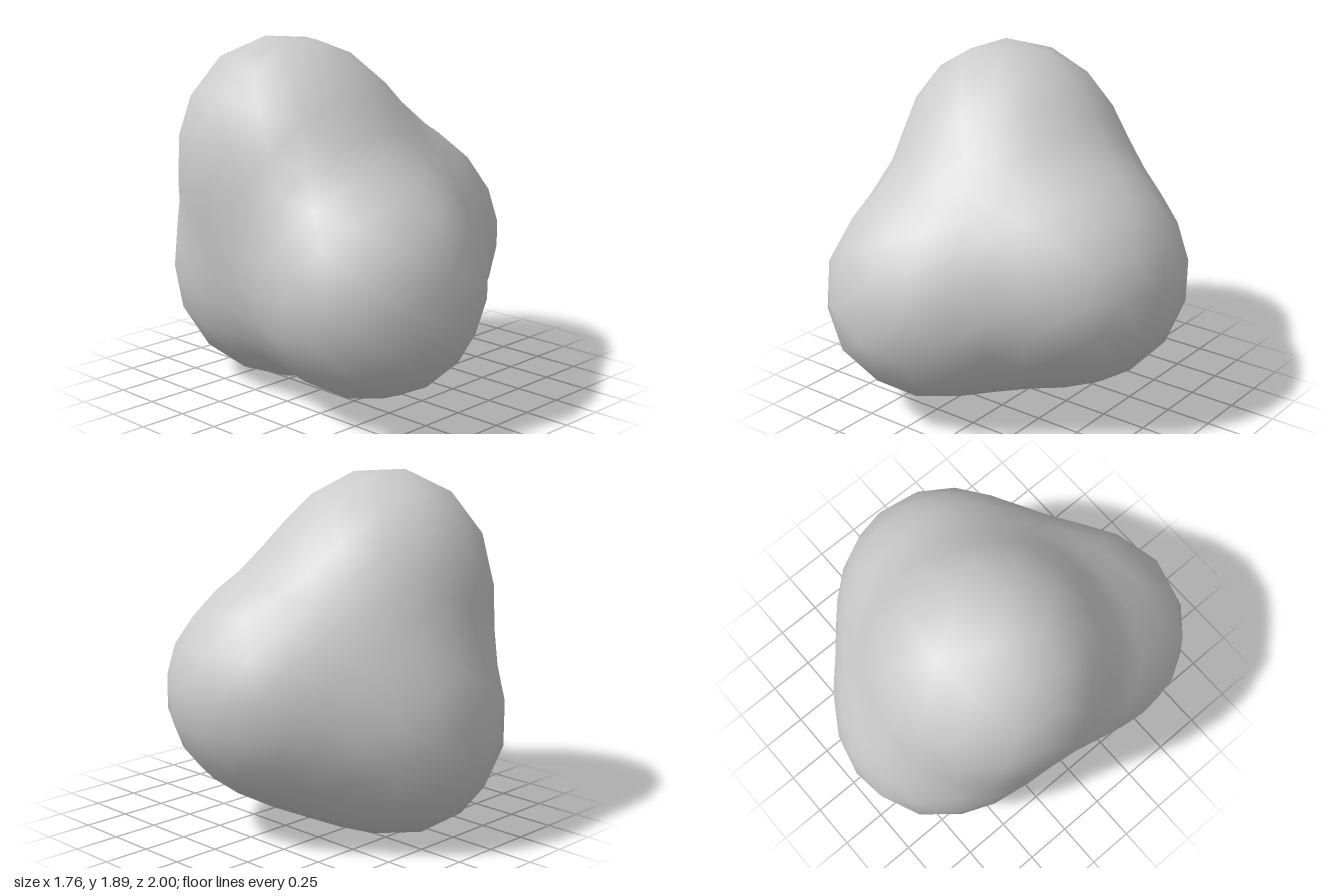
import * as THREE from 'three';
import { mergeVertices } from 'three/addons/utils/BufferGeometryUtils.js';

// Four overlapping lobes in a loose tetrahedron: centre and radius
const LOBES = [
  { c: new THREE.Vector3(-0.305, 1.36, -0.215), r: 0.512 }, // top
  { c: new THREE.Vector3(-0.345, 0.65, 0.48), r: 0.503 },   // front
  { c: new THREE.Vector3(0.37, 0.77, 0.0), r: 0.48 },       // side
  { c: new THREE.Vector3(-0.16, 0.535, -0.475), r: 0.495 }, // back
];
const CENTRE = new THREE.Vector3(-0.1, 0.84, -0.05);
const BLEND = 4.15; // lower values fill the valleys more

// Smooth union of the lobes: positive inside, negative outside
function field(p) {
  let sum = 0;
  for (const { c, r } of LOBES) sum += Math.exp(-BLEND * (p.distanceTo(c) - r));
  return sum - 1;
}

// Distance from the centre to the surface along a direction
function surfaceDistance(dir) {
  const p = new THREE.Vector3();
  let near = 0, far = 2;
  for (let i = 0; i < 30; i++) {
    const mid = (near + far) / 2;
    if (field(p.copy(CENTRE).addScaledVector(dir, mid)) > 0) near = mid;
    else far = mid;
  }
  return near;
}

function lumpyStone() {
  // A welded, coarse sphere pushed out to the blended surface
  let geo = new THREE.IcosahedronGeometry(1, 4);
  geo.deleteAttribute('normal');
  geo.deleteAttribute('uv');
  geo = mergeVertices(geo, 1e-4);
  const pos = geo.attributes.position;
  const dir = new THREE.Vector3();
  for (let i = 0; i < pos.count; i++) {
    dir.fromBufferAttribute(pos, i).normalize();
    const d = surfaceDistance(dir);
    dir.multiplyScalar(d).add(CENTRE);
    pos.setXYZ(i, dir.x, dir.y, dir.z);
  }

  // Settle on the ground, centred
  geo.computeBoundingBox();
  const mid = geo.boundingBox.getCenter(new THREE.Vector3());
  geo.translate(-mid.x, -geo.boundingBox.min.y, -mid.z);
  geo.computeVertexNormals();
  return geo;
}

export function createModel() {
  const group = new THREE.Group();
  group.name = 'lumpyStone';
  const stone = new THREE.Mesh(lumpyStone(), new THREE.MeshStandardMaterial({ color: 0xcccccc }));
  stone.name = 'stoneBody';
  group.add(stone);
  return group;
}
